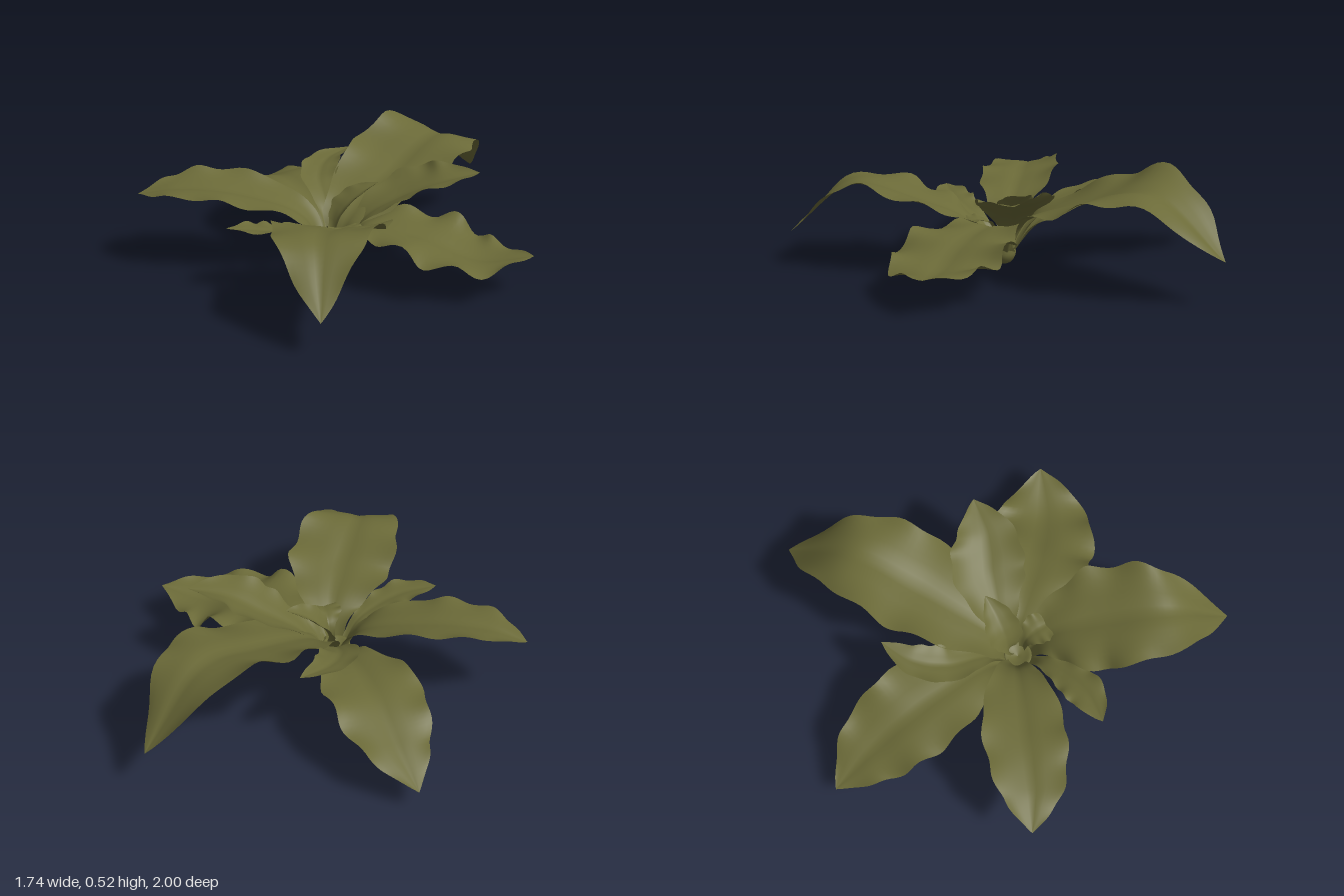
import * as THREE from 'three';

const leafGreen = new THREE.MeshStandardMaterial({ color: 0x6b6a38, side: THREE.DoubleSide });
leafGreen.name = 'leafGreen';

const v = (x, y, z) => new THREE.Vector3(x, y, z);
const stemTop = v(-0.025, 0.04, 0.14);

// Half width along a leaf: narrow stalk, widest at peak, pointed tip
function widthAt(t, peak) {
  return t < peak
    ? 0.2 + 0.8 * THREE.MathUtils.smoothstep(t, 0.06, peak)
    : 1 - ((t - peak) / (1 - peak)) ** 2.2;
}

// Bends a flat grid along a midrib that grows out of the stem.
// lift: upward curl of the left and right halves, seen looking outward; wave: ruffle of the edges
function leafGeometry(points, { width, peak = 0.55, lift, wave, phase }) {
  const out = points[0].clone().sub(stemTop).setY(0).setLength(0.03);
  const spine = new THREE.CatmullRomCurve3([stemTop.clone().add(out), ...points]);
  const geometry = new THREE.PlaneGeometry(2, 1, 14, 48);
  const pos = geometry.attributes.position;
  for (let i = 0; i < pos.count; i++) {
    const u = pos.getX(i), t = pos.getY(i) + 0.5, half = u < 0 ? 0 : 1;
    const tangent = spine.getTangent(t);
    const side = v(-tangent.z, 0, tangent.x).normalize();
    const normal = side.clone().cross(tangent);
    const w = width * widthAt(t, peak) * (1 + 0.04 * Math.sin(t * 37 + phase + half * 2));
    // stalks curl strongly into troughs near the base
    const curl = lift[half] + 0.7 * Math.max(0, 1 - t * 4);
    const ruffle = wave * Math.sin(t * 30 + phase * 2 + half * 2.4) * Math.abs(u) ** 3;
    const rib = -0.05 * Math.exp(-u * u * 30);
    const p = spine.getPoint(t)
      .addScaledVector(side, u * w)
      .addScaledVector(normal, w * (curl * u * u + ruffle + rib));
    pos.setXYZ(i, p.x, p.y, p.z);
  }
  geometry.computeVertexNormals();
  return geometry;
}

export function createModel() {
  const group = new THREE.Group();
  const add = (name, geometry) => {
    const mesh = new THREE.Mesh(geometry, leafGreen);
    mesh.name = name;
    group.add(mesh);
    return mesh;
  };
  const leaf = (name, options, ...points) => add(name, leafGeometry(points, options));

  // Five large outer leaves
  leaf('backLeaf', { width: 0.25, lift: [0.28, -0.08], wave: 0.07, phase: 0 },
    v(0, 0.2, 0.04), v(0.05, 0.36, -0.32), v(0.085, 0.44, -0.66), v(0.1, 0.19, -1));
  leaf('leftLeaf', { width: 0.255, lift: [0.08, 0], wave: 0.12, phase: 1.7 },
    v(0.12, 0.21, 0.11), v(0.4, 0.21, 0.09), v(0.65, 0.14, 0.05), v(0.87, 0.16, -0.03));
  leaf('frontLeaf', { width: 0.24, peak: 0.5, lift: [0.1, 0], wave: 0.07, phase: 3.4 },
    v(0.08, 0.22, 0.26), v(0.18, 0.32, 0.47), v(0.29, 0.375, 0.75), v(0.44, 0.14, 1));
  leaf('rightFrontLeaf', { width: 0.18, peak: 0.5, lift: [0, 0.25], wave: 0.06, phase: 5.1 },
    v(-0.14, 0.23, 0.18), v(-0.42, 0.33, 0.3), v(-0.66, 0.34, 0.41), v(-0.83, 0.3, 0.47));
  leaf('rightBackLeaf', { width: 0.21, peak: 0.5, lift: [0, 0.12], wave: 0.08, phase: 6.8 },
    v(-0.18, 0.21, 0.02), v(-0.45, 0.27, -0.17), v(-0.68, 0.19, -0.32), v(-0.87, 0.09, -0.42));

  // Smaller inner leaves
  leaf('innerLeftLeaf', { width: 0.165, lift: [0.35, 0.12], wave: 0.05, phase: 8.5 },
    v(0.08, 0.22, 0.03), v(0.22, 0.32, -0.07), v(0.37, 0.385, -0.14), v(0.51, 0.415, -0.24));
  leaf('innerBackLeaf', { width: 0.085, lift: [0.2, 0.2], wave: 0.05, phase: 10.2 },
    v(-0.12, 0.22, 0.02), v(-0.24, 0.32, -0.11), v(-0.28, 0.36, -0.25), v(-0.25, 0.38, -0.41));
  leaf('smallFrontLeaf', { width: 0.085, peak: 0.7, lift: [0.1, 0.1], wave: 0.1, phase: 11.9 },
    v(-0.05, 0.18, 0.27), v(-0.09, 0.23, 0.39), v(-0.15, 0.26, 0.5), v(-0.26, 0.28, 0.61));
  leaf('tinyLeaf', { width: 0.075, lift: [0.1, 0.1], wave: 0.06, phase: 13.6 },
    v(0.03, 0.19, 0.17), v(0.07, 0.22, 0.2), v(0.11, 0.22, 0.235), v(0.165, 0.19, 0.285));
  leaf('centreLeaf', { width: 0.08, peak: 0.5, lift: [0.35, 0.35], wave: 0.03, phase: 15.3 },
    v(-0.025, 0.19, 0.1), v(0, 0.26, 0.07), v(0.05, 0.32, 0.015), v(0.105, 0.36, -0.05));

  // Short rounded stem under the leaf stalks
  const profile = [[0, 0], [0.035, 0.008], [0.057, 0.04], [0.058, 0.08], [0.062, 0.12], [0.03, 0.11], [0, 0.1]];
  const stem = add('stem', new THREE.LatheGeometry(
    new THREE.SplineCurve(profile.map(([r, y]) => new THREE.Vector2(r, y))).getPoints(24), 24));
  stem.position.set(-0.03, 0, 0.15);

  // Small stub beside the stem
  const stub = add('stub', new THREE.CapsuleGeometry(0.015, 0.09, 4, 10));
  stub.position.set(0.03, 0.065, 0.16);
  return group;
}
